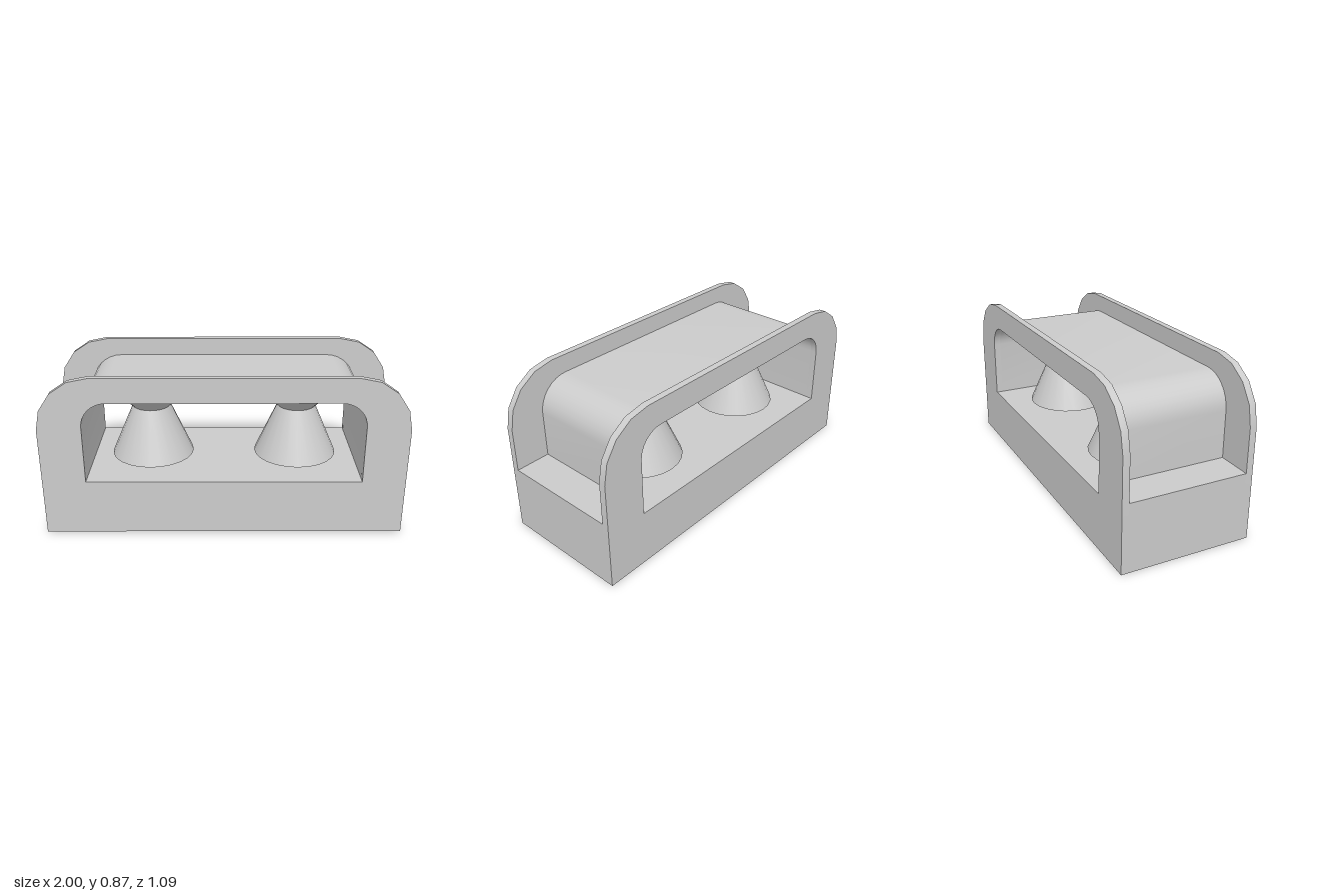
import * as THREE from 'three';
import { toCreasedNormals } from 'three/addons/utils/BufferGeometryUtils.js';

const HALF_L = 0.947, HALF_W = 0.347, PLATE = 0.036;
const FLOOR = 0.3, SHELF = 0.36, BASE = 0.28, RIM = 0.015;

// Upright outline with rounded top corners
function archPoints(half, bottom, top, radius, steps) {
  const pts = [new THREE.Vector2(-half, bottom), new THREE.Vector2(half, bottom)];
  for (const [side, start] of [[1, 0], [-1, Math.PI / 2]]) {
    for (let i = 0; i <= steps; i++) {
      const a = start + (i / steps) * Math.PI / 2;
      pts.push(new THREE.Vector2(
        side * (half - radius) + radius * Math.cos(a),
        top - radius + radius * Math.sin(a)));
    }
  }
  return pts;
}

function archGeometry(outer, inner, depth) {
  const shape = new THREE.Shape(outer);
  shape.holes.push(new THREE.Path(inner));
  const g = new THREE.ExtrudeGeometry(shape, { depth, bevelEnabled: false });
  g.translate(0, 0, -depth / 2);
  return toCreasedNormals(g, 0.5);
}

export function createModel() {
  const material = new THREE.MeshStandardMaterial({ color: 0xcccccc, side: THREE.DoubleSide });
  const model = new THREE.Group();
  model.name = 'rollerHousing';
  const add = (name, geometry, x = 0, y = 0, z = 0, parent = model) => {
    const mesh = new THREE.Mesh(geometry, material);
    mesh.name = name;
    mesh.position.set(x, y, z);
    parent.add(mesh);
    return mesh;
  };

  // Hollow base, open underneath
  const rect = (a, b) => [[-a, -b], [a, -b], [a, b], [-a, b]].map(p => new THREE.Vector2(...p));
  const wallShape = new THREE.Shape(rect(HALF_L, HALF_W));
  wallShape.holes.push(new THREE.Path(rect(HALF_L - RIM, HALF_W - RIM)));
  const walls = new THREE.ExtrudeGeometry(wallShape, { depth: BASE, bevelEnabled: false });
  walls.rotateX(-Math.PI / 2);
  add('baseWalls', walls);

  // Tunnel floor
  const innerW = 2 * (HALF_W - PLATE);
  add('floor', new THREE.BoxGeometry(1.45, FLOOR - BASE, innerW), 0, (FLOOR + BASE) / 2, 0);

  // Front and back plates with a rounded window
  const window = archPoints(0.72, FLOOR, 0.74, 0.13, 8);
  const plate = archGeometry(archPoints(HALF_L, BASE, 0.873, 0.28, 4), window, PLATE);
  add('frontPlate', plate, 0, 0, HALF_W - PLATE / 2);
  add('backPlate', plate, 0, 0, -HALF_W + PLATE / 2);

  // Arched cover joining the two windows
  const tunnel = archGeometry(archPoints(0.758, BASE, 0.777, 0.167, 8), window, innerW);
  add('archedCover', tunnel);

  for (const side of [-1, 1]) {
    // End shelves between the plates
    add(side > 0 ? 'leftShelf' : 'rightShelf',
      new THREE.BoxGeometry(HALF_L - 0.757, SHELF - BASE, innerW),
      side * (HALF_L + 0.757) / 2, (SHELF + BASE) / 2, 0);

    // Waisted rollers on upright axles
    const roller = new THREE.Group();
    roller.name = side > 0 ? 'leftRoller' : 'rightRoller';
    roller.position.x = side * 0.395;
    model.add(roller);
    const profile = [[0, 0.322], [0.225, 0.322], [0.103, 0.6], [0.225, 0.72], [0, 0.72]];
    const body = new THREE.LatheGeometry(profile.map(p => new THREE.Vector2(...p)), 24);
    add('rollerBody', toCreasedNormals(body, 0.5), 0, 0, 0, roller);
    add('axle', new THREE.CylinderGeometry(0.055, 0.055, 0.44, 20), 0, 0.52, 0, roller);
  }

  // The whole housing stands turned on the ground
  model.rotation.y = THREE.MathUtils.degToRad(12.5);
  const root = new THREE.Group();
  root.name = 'model';
  root.add(model);
  return root;
}
